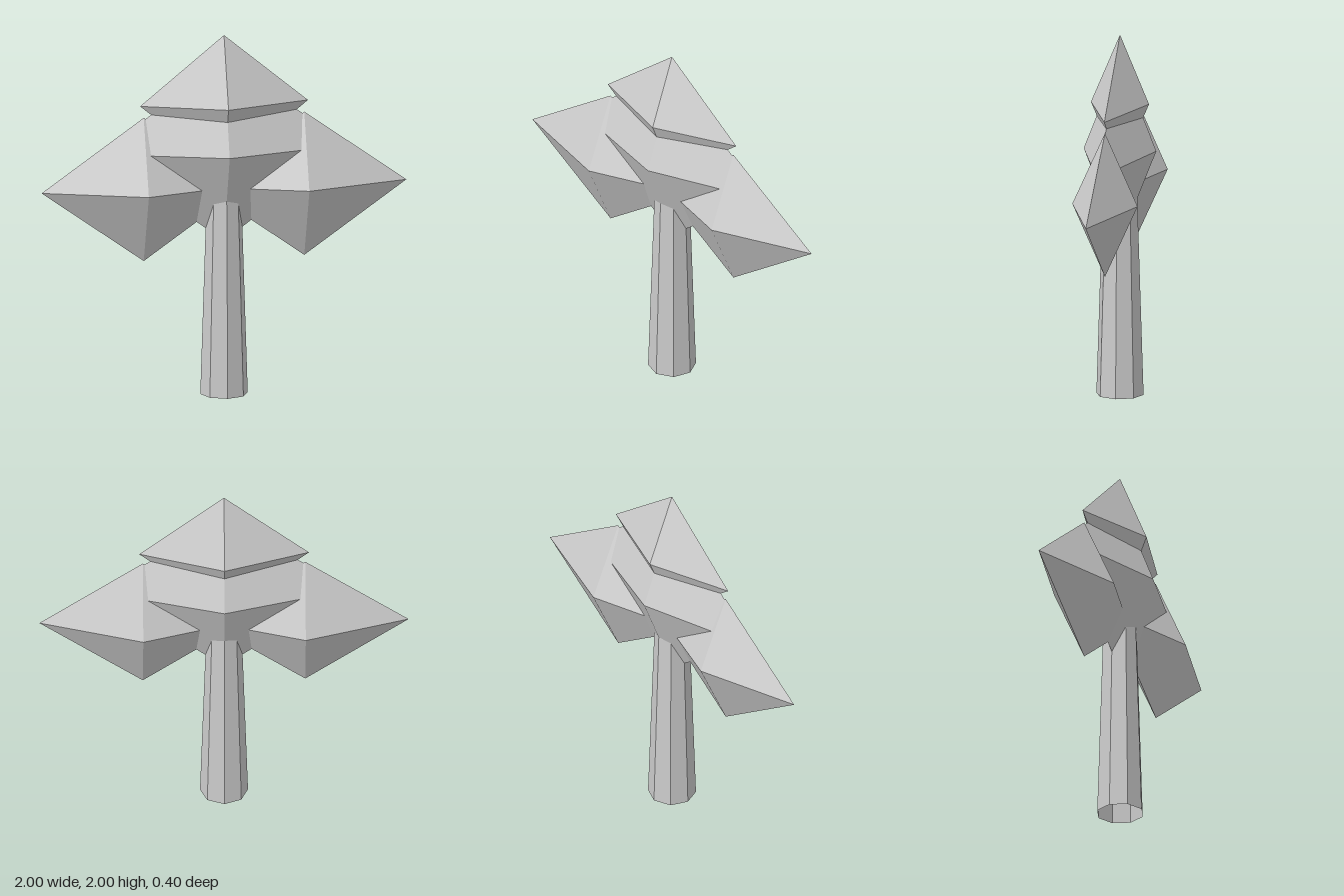
import * as THREE from 'three';

export function createModel() {
  const tree = new THREE.Group();
  tree.name = 'tree';
  const grey = new THREE.MeshStandardMaterial({ color: 0xcccccc, flatShading: true, side: THREE.DoubleSide });
  grey.name = 'light grey';

  const add = (name, geometry, x, y) => {
    const mesh = new THREE.Mesh(geometry, grey);
    mesh.name = name;
    mesh.position.set(x, y, 0);
    tree.add(mesh);
  };
  // A flattened diamond given by its half width, half height and half depth
  const diamond = (w, h, d) => new THREE.OctahedronGeometry(1).scale(w, h, d);

  // Tapered eight-sided trunk, open at the base
  add('trunk', new THREE.CylinderGeometry(0.092, 0.13, 1.2, 8, 1, true), 0, 0.6);

  // Crown of four overlapping diamonds
  add('crownTop', diamond(0.46, 0.38, 0.16), 0, 1.62);
  add('crownMiddle', diamond(0.68, 0.51, 0.2), 0, 1.36);
  for (const side of [-1, 1]) {
    add(side > 0 ? 'leftFoliage' : 'rightFoliage', diamond(0.56, 0.4, 0.18), side * 0.44, 1.155);
  }
  return tree;
}
